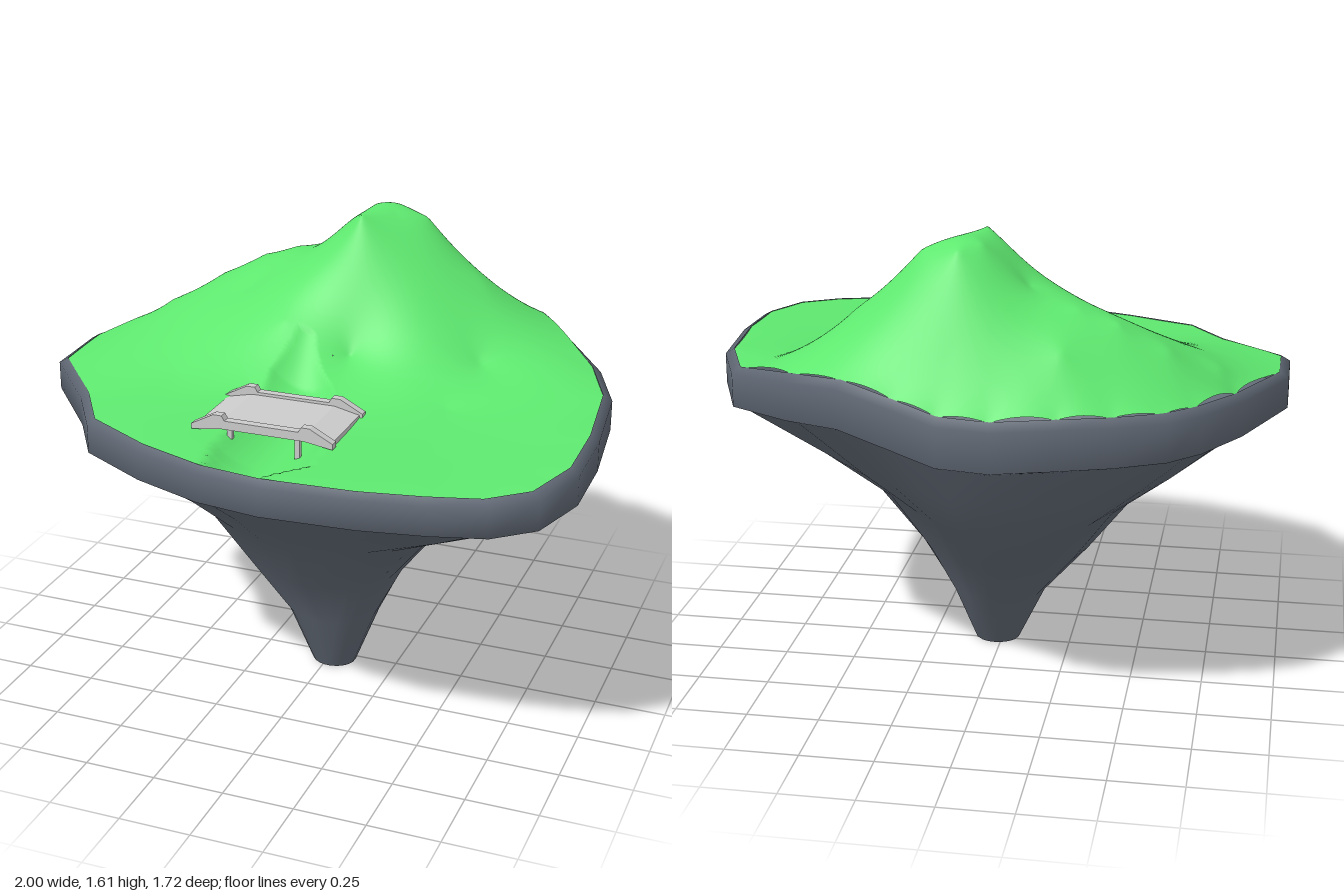
import * as THREE from 'three';

// Island outline, clockwise seen from above: x, z, height of the rim
const outline = [
  [-0.10, -0.86, 1.11], [0.07, -0.86, 1.12], [0.22, -0.83, 1.16], [0.40, -0.78, 1.20], [0.59, -0.70, 1.19],
  [0.86, -0.40, 1.115], [0.96, -0.15, 1.11], [1.0, 0.20, 1.10], [1.0, 0.46, 1.09], [0.93, 0.66, 1.08],
  [0.80, 0.76, 1.075], [0.62, 0.81, 1.075], [0.40, 0.84, 1.07], [0.08, 0.86, 1.07], [-0.15, 0.82, 1.065],
  [-0.40, 0.73, 1.065], [-0.65, 0.60, 1.07], [-0.78, 0.40, 1.075], [-1.0, 0.15, 1.09], [-1.0, -0.10, 1.10],
  [-0.86, -0.42, 1.11], [-0.74, -0.62, 1.12], [-0.64, -0.71, 1.12], [-0.48, -0.78, 1.12], [-0.31, -0.83, 1.12],
];

// Spot heights of the hill and meadow: x, z, y
const spots = [
  [0, -0.28, 1.605], [-0.02, -0.49, 1.59], [0.05, -0.55, 1.575], [0.18, -0.48, 1.565], [0.09, -0.40, 1.59],
  [0.20, -0.34, 1.49], [-0.16, -0.44, 1.45], [-0.33, -0.50, 1.395], [-0.46, -0.50, 1.35],
  [-0.62, -0.48, 1.265], [-0.78, -0.36, 1.18], [-0.42, -0.25, 1.30], [-0.19, -0.03, 1.27],
  [-0.20, 0.25, 1.08], [0.40, -0.45, 1.36], [0.05, -0.72, 1.28], [-0.30, -0.67, 1.29],
  [0.05, -0.04, 1.17], [0.15, 0.25, 1.08], [0.45, 0.10, 1.08], [0.48, -0.18, 1.15],
  [-0.70, -0.10, 1.17], [-0.50, 0.20, 1.11], [-0.35, 0.50, 1.07], [0.50, 0.50, 1.07], [0.05, 0.60, 1.07],
];

const rockMat = new THREE.MeshStandardMaterial({ color: 0x616975, side: THREE.DoubleSide });
const grassMat = new THREE.MeshStandardMaterial({ color: 0x5ee86f, side: THREE.DoubleSide });
const greyMat = new THREE.MeshStandardMaterial({ color: 0xcccccc });

// Surface through closed rows of [x, y, z] points, listed from bottom to top
function loft(rows) {
  const n = rows[0].length, index = [];
  for (let i = 0; i < rows.length - 1; i++) {
    for (let j = 0; j < n; j++) {
      const a = i * n + j, b = i * n + (j + 1) % n, c = a + n, d = b + n;
      index.push(a, c, b, b, c, d);
    }
  }
  const geo = new THREE.BufferGeometry();
  geo.setAttribute('position', new THREE.Float32BufferAttribute(rows.flat(2), 3));
  geo.setIndex(index);
  geo.computeVertexNormals();
  return geo;
}

// Scaled outline at a depth below the rim; the rim is thicker towards the back
const rimRow = (scale, drop) => outline.map(([x, z, y]) =>
  [x * scale, y - drop * (1 + 0.4 * Math.max(0, -z)), z * scale]);

// Smooth height function through the given points (radial basis, Gauss-Jordan solve)
function heightField(points, base) {
  const n = points.length;
  const m = points.map(p => [...points.map(q => Math.hypot(p[0] - q[0], p[1] - q[1])), p[2] - base]);
  for (let c = 0; c < n; c++) {
    let pivot = c;
    for (let r = c + 1; r < n; r++) if (Math.abs(m[r][c]) > Math.abs(m[pivot][c])) pivot = r;
    [m[c], m[pivot]] = [m[pivot], m[c]];
    for (let r = 0; r < n; r++) {
      if (r === c) continue;
      const f = m[r][c] / m[c][c];
      for (let k = c; k <= n; k++) m[r][k] -= f * m[c][k];
    }
  }
  const w = m.map((row, i) => row[n] / row[i]);
  return (x, z) => points.reduce((s, p, i) => s + w[i] * Math.hypot(x - p[0], z - p[1]), base);
}

// Piecewise linear lookup through [input, value] pairs
function lookup(pairs, t) {
  for (let i = 1; i < pairs.length; i++) {
    const [t0, v0] = pairs[i - 1], [t1, v1] = pairs[i];
    if (t <= t1) return v0 + (v1 - v0) * Math.max(0, (t - t0) / (t1 - t0));
  }
  return pairs[pairs.length - 1][1];
}

// Hill and meadow with a stream bed running down to the front rim
function createTerrain() {
  const rim = outline.map(([x, z, y]) => [x * 0.968, z * 0.968, y - 0.003]);
  const ground = heightField([...spots, ...rim], 1.1);
  const leftBank = [[-0.03, -0.19], [0.62, -0.19], [0.80, -0.14]];
  const rightBank = [[-0.03, 0.02], [0.25, 0.15], [0.68, 0.19], [0.80, 0.08]];
  const bed = [[-0.03, 1.24], [0.12, 1.08], [0.27, 1.0], [0.85, 0.99]];
  const height = (x, z) => {
    const y = ground(x, z);
    if (z < -0.03) return y;
    const l = lookup(leftBank, z), r = lookup(rightBank, z), u = (x - l) / (r - l);
    if (u < 0 || u > 1) return y;
    return Math.min(y, lookup(bed, z) + 0.08 * (2 * u - 1) ** 2);
  };
  const rings = 80, sub = 10, rows = [];
  for (let i = 0; i <= rings; i++) {
    const s = Math.max(0.001, 1 - i / rings), row = [];
    rim.forEach((p, j) => {
      const q = rim[(j + 1) % rim.length];
      for (let k = 0; k < sub; k++) {
        const x = s * (p[0] + (q[0] - p[0]) * k / sub), z = s * (p[1] + (q[1] - p[1]) * k / sub);
        row.push([x, height(x, z), z]);
      }
    });
    rows.push(row);
  }
  return loft(rows);
}

function createRock() {
  // height, centre x, centre z, half width, half depth, roundness, hollow at the back left
  const levels = [
    [0, 0.02, 0.03, 0.001, 0.001, 1, 0], [0, 0.02, 0.03, 0.08, 0.072, 1, 0],
    [0.21, 0.01, 0.01, 0.17, 0.155, 0.9, 0], [0.41, -0.02, -0.035, 0.305, 0.315, 0.7, 0.2],
    [0.65, -0.015, -0.085, 0.485, 0.55, 0.4, 0.4], [0.80, 0, -0.05, 0.73, 0.69, 0.15, 0.3],
  ];
  const rows = levels.map(([y, cx, cz, hx, hz, round, hollow]) => outline.map(([x, z]) => {
    const u = x, v = z / 0.86, dent = u > 0 ? hollow * Math.max(0, -u * v) : 0;
    const k = (1 + (1 / Math.hypot(u, v) - 1) * round) * (1 - dent);
    return [cx + hx * u * k, y, cz + hz * v * k];
  }));
  return loft([...rows, rimRow(0.945, 0.135)]);
}

// Side profile extruded along z between z0 and z1
function slab(name, profile, z0, z1) {
  const shape = new THREE.Shape(profile.map(p => new THREE.Vector2(...p)));
  const geo = new THREE.ExtrudeGeometry(shape, { depth: z1 - z0, bevelEnabled: false });
  const mesh = new THREE.Mesh(geo, greyMat);
  mesh.name = name;
  mesh.position.z = z0;
  return mesh;
}

function createBridge() {
  const bridge = new THREE.Group();
  bridge.name = 'bridge';
  const deck = [[-0.28, 1.065], [-0.19, 1.08], [0.11, 1.08], [0.20, 1.065],
    [0.20, 1.085], [0.11, 1.105], [-0.19, 1.105], [-0.28, 1.085]];
  const rail = [[-0.29, 1.07], [-0.19, 1.085], [0.11, 1.085], [0.21, 1.07], [0.21, 1.09], [0.13, 1.132],
    [0.10, 1.132], [0.09, 1.115], [-0.17, 1.115], [-0.18, 1.132], [-0.21, 1.132], [-0.29, 1.09]];
  bridge.add(slab('deck', deck, 0.26, 0.53));
  for (const z of [0.24, 0.515]) bridge.add(slab('rail', rail, z, z + 0.03));
  // Thin posts standing in the stream bed
  for (const x of [-0.16, 0.08]) {
    for (const z of [0.26, 0.52]) {
      const post = new THREE.Mesh(new THREE.BoxGeometry(0.018, 0.1, 0.018), greyMat);
      post.name = 'post';
      post.position.set(x, 1.04, z);
      bridge.add(post);
    }
  }
  return bridge;
}

export function createModel() {
  const island = new THREE.Group();
  island.name = 'floatingIsland';
  const add = (name, geo, mat) => {
    const mesh = new THREE.Mesh(geo, mat);
    mesh.name = name;
    island.add(mesh);
  };
  add('rockBase', createRock(), rockMat);
  add('rockRim', loft([rimRow(0.945, 0.135), rimRow(1, 0.12), rimRow(1, 0.02), rimRow(0.967, 0)]), rockMat);
  // Short wall inside the rim, seen where the stream leaves
  add('rimInnerWall', loft([rimRow(0.967, 0), rimRow(0.967, 0.1)]), rockMat);
  add('grassTerrain', createTerrain(), grassMat);
  island.add(createBridge());
  return island;
}
